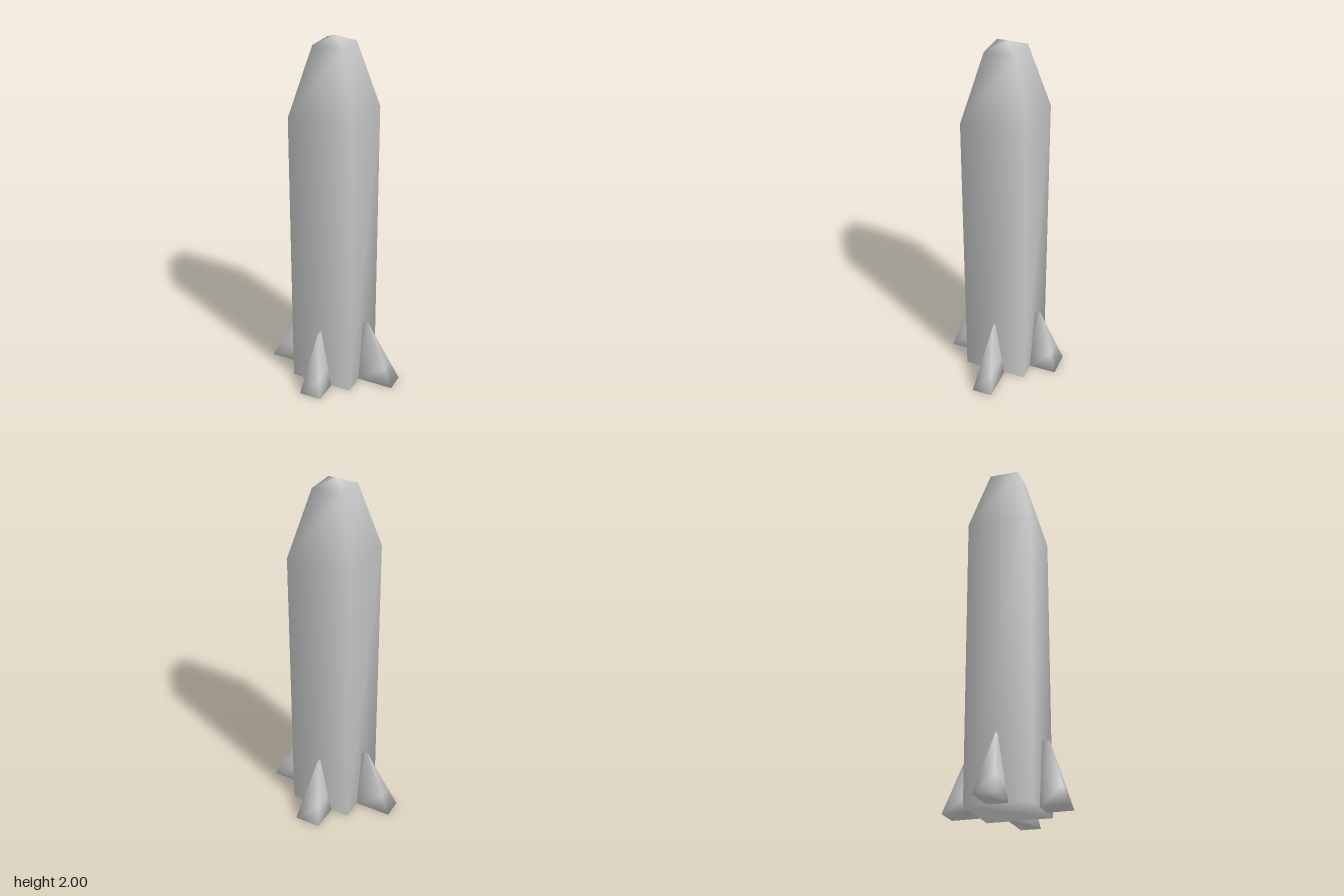
import * as THREE from 'three';

const material = new THREE.MeshStandardMaterial({ color: 0xcccccc });

// Four corners of a level rectangle, counterclockwise seen from above
const rect = (y, x0, x1, hz) => [[x0, y, -hz], [x0, y, hz], [x1, y, hz], [x1, y, -hz]];

// Closed, smooth-shaded skin over rectangles stacked from bottom to top
function loft(name, sections) {
  const index = [];
  for (let s = 0; s < sections.length - 1; s++) {
    for (let i = 0; i < 4; i++) {
      const a = s * 4 + i, b = s * 4 + (i + 1) % 4;
      index.push(a, b, b + 4, a, b + 4, a + 4);
    }
  }
  const t = (sections.length - 1) * 4;
  index.push(0, 2, 1, 0, 3, 2, t, t + 1, t + 2, t, t + 2, t + 3);
  const geometry = new THREE.BufferGeometry();
  geometry.setAttribute('position', new THREE.Float32BufferAttribute(sections.flat(2), 3));
  geometry.setIndex(index);
  geometry.computeVertexNormals();
  const mesh = new THREE.Mesh(geometry, material);
  mesh.name = name;
  return mesh;
}

// Wedge fin pointing along +x: wide foot on the ground, thin ridge on top
function fin(name, wall, tip, ridge, halfWidth, angle, z = 0) {
  const height = 0.355;
  const sections = [0, 0.3, 1].map((t) => rect(
    t * height, wall, THREE.MathUtils.lerp(tip, ridge, t), Math.max(halfWidth * (1 - t), 0.001)));
  const mesh = loft(name, sections);
  mesh.rotation.y = angle;
  mesh.position.z = z;
  return mesh;
}

export function createModel() {
  const group = new THREE.Group();
  group.name = 'rocket';

  // Square hull with tapered nose and shallow pyramid tip
  const profile = [[0.178, 0], [0.178, 1.595], [0.083, 1.96], [0.001, 2]];
  const hull = loft('hull', profile.map(([r, y]) => rect(y, -r, r, r)));
  hull.position.z = 0.004;
  group.add(hull);

  // Side fins are longer than the front and back ones
  group.add(
    fin('leftFin', 0.177, 0.383, 0.21, 0.056, 0, 0.003),
    fin('rightFin', 0.177, 0.383, 0.21, 0.056, Math.PI, 0.003),
    fin('frontFin', 0.181, 0.325, 0.222, 0.063, -Math.PI / 2),
    fin('backFin', 0.173, 0.328, 0.205, 0.073, Math.PI / 2),
  );
  return group;
}
